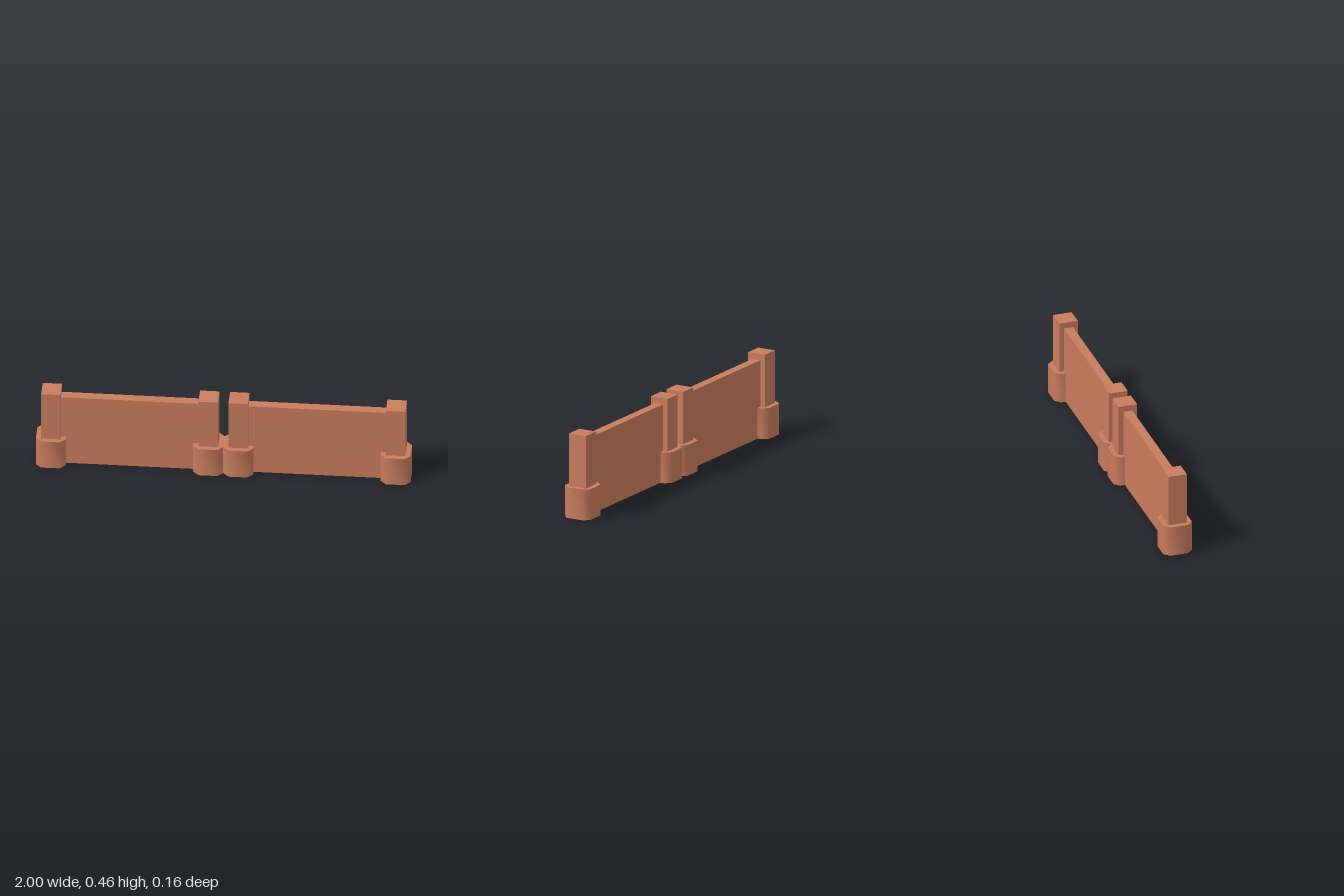
import * as THREE from 'three';
import { toCreasedNormals } from 'three/addons/utils/BufferGeometryUtils.js';

const BASE_W = 0.16, BASE_H = 0.17, CHAMFER = 0.03;
const POST_W = 0.104, POST_H = 0.46;
const PANEL_H = 0.427, PANEL_T = 0.05;

// Square footing with cut corners, smooth around the sides and sharp at the rims
function baseGeometry() {
  const h = BASE_W / 2, c = h - CHAMFER;
  const outline = [[h, -c], [h, c], [c, h], [-c, h], [-h, c], [-h, -c], [-c, -h], [c, -h]];
  const shape = new THREE.Shape(outline.map(([x, y]) => new THREE.Vector2(x, y)));
  const geo = new THREE.ExtrudeGeometry(shape, { depth: BASE_H, bevelEnabled: false });
  geo.rotateX(-Math.PI / 2);
  return toCreasedNormals(geo, 1);
}

export function createModel() {
  const model = new THREE.Group();
  model.name = 'wall';
  const clay = new THREE.MeshStandardMaterial({ color: 0xc87c5c });
  clay.name = 'clay';

  const baseGeo = baseGeometry();
  const postGeo = new THREE.BoxGeometry(POST_W, POST_H, POST_W).translate(0, POST_H / 2, 0);
  const panelGeo = new THREE.BoxGeometry(0.84, PANEL_H, PANEL_T).translate(0, PANEL_H / 2, 0);

  const add = (parent, name, geo, x) => {
    const mesh = new THREE.Mesh(geo, clay);
    mesh.name = name;
    mesh.position.x = x;
    parent.add(mesh);
  };

  // Two identical sections, each a panel between two footed posts
  for (const side of [-1, 1]) {
    const section = new THREE.Group();
    section.name = side < 0 ? 'rightSection' : 'leftSection';
    section.position.x = side * 0.5;
    add(section, 'panel', panelGeo, 0);
    for (const x of [-0.42, 0.42]) {
      add(section, 'post', postGeo, x);
      add(section, 'postBase', baseGeo, x);
    }
    model.add(section);
  }
  return model;
}
